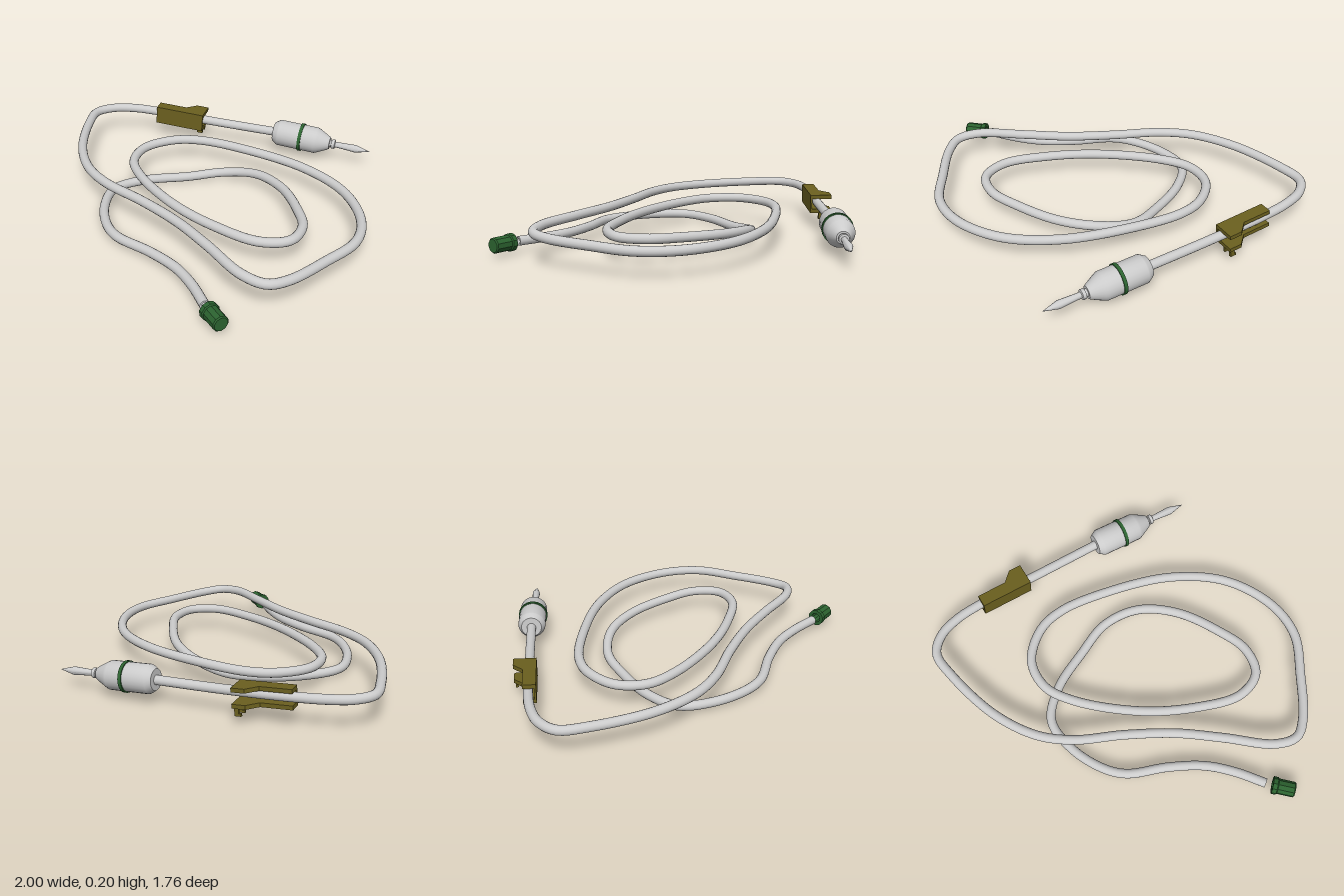
import * as THREE from 'three';
import { toCreasedNormals } from 'three/addons/utils/BufferGeometryUtils.js';

const grey = new THREE.MeshStandardMaterial({ color: 0xcccccc, side: THREE.DoubleSide });
const green = new THREE.MeshStandardMaterial({ color: 0x2c6330, side: THREE.DoubleSide });
const olive = new THREE.MeshStandardMaterial({ color: 0x6b601f, side: THREE.DoubleSide });

function add(parent, name, geometry, material, x = 0, y = 0, z = 0) {
  const mesh = new THREE.Mesh(geometry, material);
  mesh.name = name;
  mesh.position.set(x, y, z);
  parent.add(mesh);
  return mesh;
}

// Turned part: profile of [radius, distance along the axis]
function turned(profile, sides) {
  const points = profile.map(([r, s]) => new THREE.Vector2(r, s));
  return toCreasedNormals(new THREE.LatheGeometry(points, sides), 0.5);
}

// Group whose local y axis runs from one point toward another
function axisGroup(name, from, to) {
  const g = new THREE.Group();
  g.name = name;
  g.position.copy(from);
  g.quaternion.setFromUnitVectors(new THREE.Vector3(0, 1, 0), to.clone().sub(from).normalize());
  return g;
}

const HOSE_RADIUS = 0.025;

function makeHose() {
  const g = new THREE.Group();
  g.name = 'hose';
  // Centre line from the open end, through two coils, to the plug
  const path = [
    [0.685, 0.063, 0.787], [0.53, 0.06, 0.706], [0.38, 0.057, 0.655], [0.19, 0.053, 0.638],
    [-0.035, 0.048, 0.645], [-0.16, 0.045, 0.597], [-0.31, 0.041, 0.47], [-0.4, 0.037, 0.305],
    [-0.345, 0.032, 0.125], [-0.195, 0.029, -0.065], [-0.05, 0.05, -0.21], [0.138, 0.088, -0.261],
    [0.353, 0.108, -0.21], [0.568, 0.123, -0.065], [0.692, 0.131, 0.06], [0.722, 0.136, 0.205],
    [0.618, 0.14, 0.315], [0.375, 0.141, 0.355], [0.08, 0.141, 0.34], [-0.265, 0.141, 0.24],
    [-0.415, 0.141, 0.14], [-0.471, 0.142, -0.01], [-0.408, 0.143, -0.18], [-0.29, 0.143, -0.279],
    [-0.025, 0.143, -0.364], [0.35, 0.141, -0.413], [0.65, 0.138, -0.354], [0.875, 0.136, -0.185],
    [0.97, 0.138, 0.005], [0.958, 0.143, 0.245], [0.924, 0.151, 0.485], [0.872, 0.16, 0.583],
    [0.75, 0.17, 0.61], [0.485, 0.178, 0.546], [0.24, 0.18, 0.492], [-0.025, 0.182, 0.469],
    [-0.29, 0.181, 0.464], [-0.48, 0.18, 0.415], [-0.69, 0.177, 0.275], [-0.9, 0.174, 0.03],
    [-0.973, 0.172, -0.105], [-0.938, 0.17, -0.212], [-0.85, 0.167, -0.295], [-0.72, 0.16, -0.37],
    [-0.4, 0.143, -0.514], [-0.03, 0.132, -0.677],
  ].map((p) => new THREE.Vector3(...p));
  const curve = new THREE.CatmullRomCurve3(path);
  add(g, 'hoseTube', new THREE.TubeGeometry(curve, 400, HOSE_RADIUS, 16), grey);

  // Open mouth of the hose: rim and short bore
  const mouth = axisGroup('hoseMouth', path[0], path[0].clone().sub(curve.getTangent(0)));
  add(mouth, 'hoseRim', turned(
    [[0, -0.05], [0.017, -0.05], [0.017, 0], [HOSE_RADIUS, 0]], 16), grey);
  g.add(mouth);
  return g;
}

// Plug with tapered shoulders, sealing ring and pointed spike
function makePlug() {
  const g = axisGroup('plug', new THREE.Vector3(-0.049, 0.134, -0.669), new THREE.Vector3(0.484, 0.097, -0.884));
  add(g, 'plugBody', turned([
    [0, 0], [0.056, 0], [0.074, 0.028], [0.076, 0.035], [0.076, 0.255], [0.07, 0.27],
    [0.042, 0.325], [0.034, 0.338], [0, 0.338]], 24), grey);
  add(g, 'sealingRing', turned([
    [0.07, 0.157], [0.082, 0.157], [0.082, 0.175], [0.07, 0.175]], 24), green);
  add(g, 'spikeNeck', turned([
    [0.02, 0.335], [0.02, 0.348], [0.027, 0.35], [0.027, 0.368], [0.02, 0.371], [0, 0.371]], 16), grey);
  add(g, 'spike', turned([
    [0.016, 0.365], [0.017, 0.4], [0.022, 0.49], [0, 0.575]], 16), grey);
  return g;
}

// Loose end cap: flanged, faceted and hollow
function makeCap() {
  const g = axisGroup('endCap', new THREE.Vector3(0.717, 0.064, 0.801), new THREE.Vector3(0.831, 0.064, 0.842));
  add(g, 'capShell', turned([
    [0, 0.07], [0.027, 0.07], [0.027, 0], [0.047, 0], [0.047, 0.024], [0.041, 0.029],
    [0.041, 0.114], [0.035, 0.12], [0, 0.12]], 10), green);
  return g;
}

// Channel clip around the hose, open at the back, with hooks underneath
function makeClip() {
  const g = new THREE.Group();
  g.name = 'hoseClip';
  g.position.set(-0.58, 0.146, -0.425);
  g.rotation.set(0, 0.4235, -0.06);
  const outline = new THREE.Shape([
    [-0.145, -0.033], [0.145, -0.033], [0.145, 0.087], [0.075, 0.087], [0.02, 0.035], [-0.145, 0.035],
  ].map(([x, y]) => new THREE.Vector2(x, y)));
  const plate = new THREE.ExtrudeGeometry(outline, { depth: 0.022, bevelEnabled: false });
  plate.rotateX(-Math.PI / 2);
  add(g, 'clipTop', plate, olive, 0, 0.03, 0);
  add(g, 'clipBottom', plate, olive, 0, -0.052, 0);
  add(g, 'clipWall', new THREE.BoxGeometry(0.29, 0.06, 0.01), olive, 0, 0, 0.028);
  for (const z of [-0.025, -0.073]) {
    add(g, 'hookStem', new THREE.BoxGeometry(0.022, 0.036, 0.014), olive, 0.124, -0.068, z);
    add(g, 'hookToe', new THREE.BoxGeometry(0.034, 0.013, 0.014), olive, 0.118, -0.086, z);
  }
  return g;
}

export function createModel() {
  const model = new THREE.Group();
  model.name = 'coiledHose';
  model.add(makeHose(), makePlug(), makeCap(), makeClip());
  return model;
}
